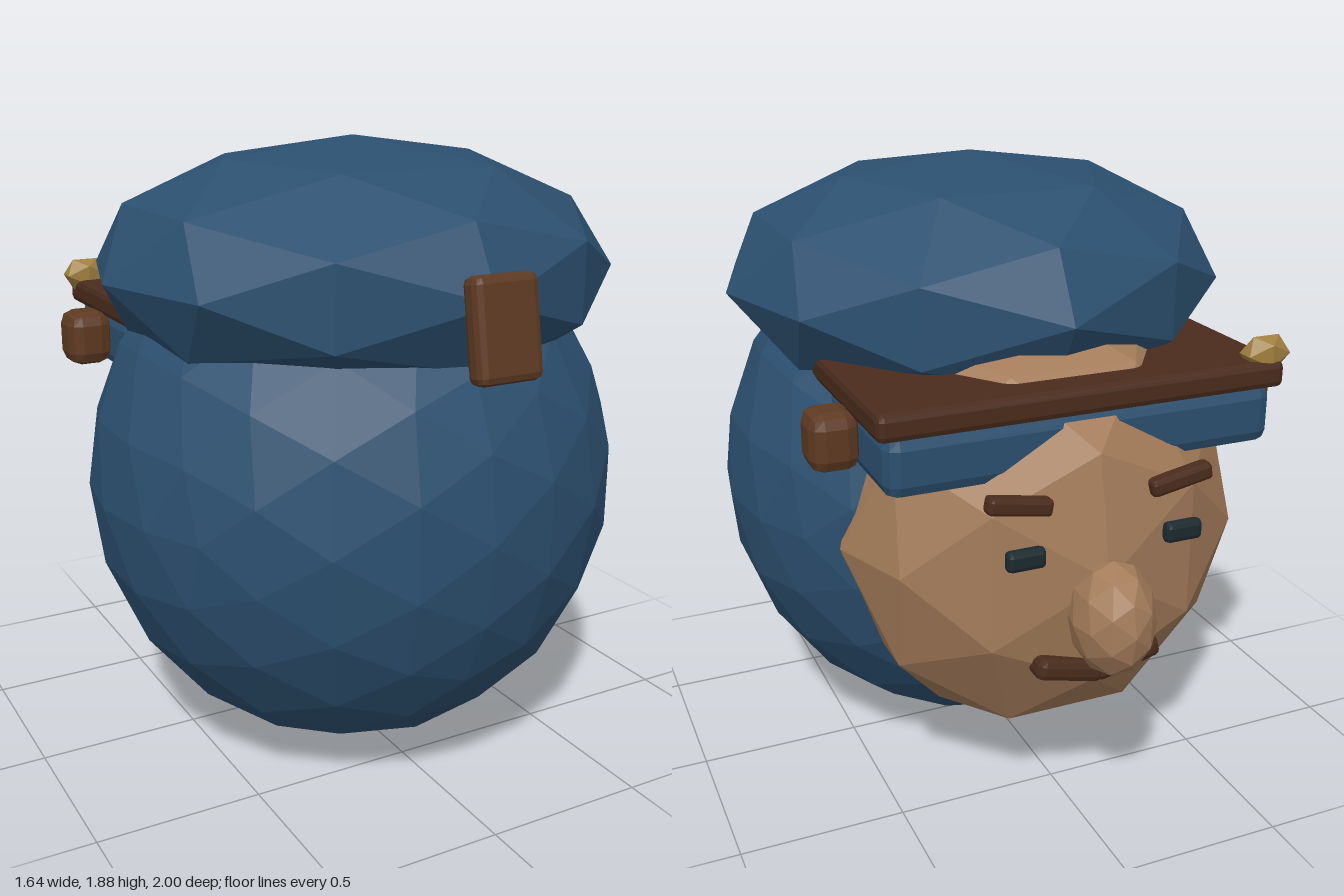
import * as THREE from 'three';
import { RoundedBoxGeometry } from 'three/addons/geometries/RoundedBoxGeometry.js';

const material = (color) => new THREE.MeshStandardMaterial({ color, flatShading: true });

export function createModel() {
  const model = new THREE.Group();
  model.name = 'roundHeadWithCap';
  const blue = material(0x2c5070);
  const skin = material(0xa47c5a);
  const brown = material(0x5e3a22);
  const darkBrown = material(0x4a2c1c);
  const black = material(0x1c2a30);
  const gold = material(0xa08040);

  const add = (name, geometry, mat, position, tiltX = 0, tiltZ = 0) => {
    const mesh = new THREE.Mesh(geometry, mat);
    mesh.name = name;
    mesh.position.set(...position);
    mesh.rotation.set(tiltX, 0, tiltZ);
    model.add(mesh);
    return mesh;
  };
  // Faceted ellipsoid given by its three radii
  const blob = (radii, detail) => new THREE.IcosahedronGeometry(1, detail).scale(...radii);
  // Box with one chamfer on every edge
  const block = (w, h, d, chamfer) => new RoundedBoxGeometry(w, h, d, 1, chamfer);

  // Head, puffy cap and face
  add('head', blob([0.82, 0.85, 0.79], 3), blue, [0, 0.85, 0.16]);
  add('capCrown', blob([0.79, 0.38, 0.76], 1), blue, [0, 1.5, 0.16]);
  add('face', blob([0.62, 0.66, 0.48], 1), skin, [0, 0.85, -0.36]);
  add('nose', blob([0.12, 0.17, 0.14], 1), skin, [0, 0.75, -0.86]);

  // Cap visor over its band
  add('visor', block(1.22, 0.08, 0.72, 0.02), darkBrown, [0, 1.33, -0.36]);
  add('capBand', block(1.17, 0.18, 0.70, 0.04), blue, [0, 1.21, -0.355]);

  // Strap tab on the back of the cap and a small badge on the visor
  add('strapTab', block(0.2, 0.28, 0.07, 0.022), brown, [0, 1.445, 0.942], -0.17);
  add('visorBadge', blob([0.08, 0.06, 0.05], 0), gold, [-0.57, 1.385, -0.67]);

  // Mirrored parts
  for (const [side, s] of [['left', 1], ['right', -1]]) {
    add(side + 'Button', block(0.14, 0.17, 0.15, 0.04), brown, [s * 0.655, 1.225, -0.435]);
    add(side + 'Eyebrow', block(0.19, 0.05, 0.05, 0.012), darkBrown, [s * 0.245, 1.09, -0.775], 0, s * 0.18);
    add(side + 'Eye', block(0.115, 0.06, 0.04, 0.015), black, [s * 0.24, 0.948, -0.81]);
    add(side + 'Moustache', block(0.21, 0.065, 0.085, 0.02), darkBrown, [s * 0.09, 0.565, -0.768], 0, s * 0.25);
  }
  return model;
}
